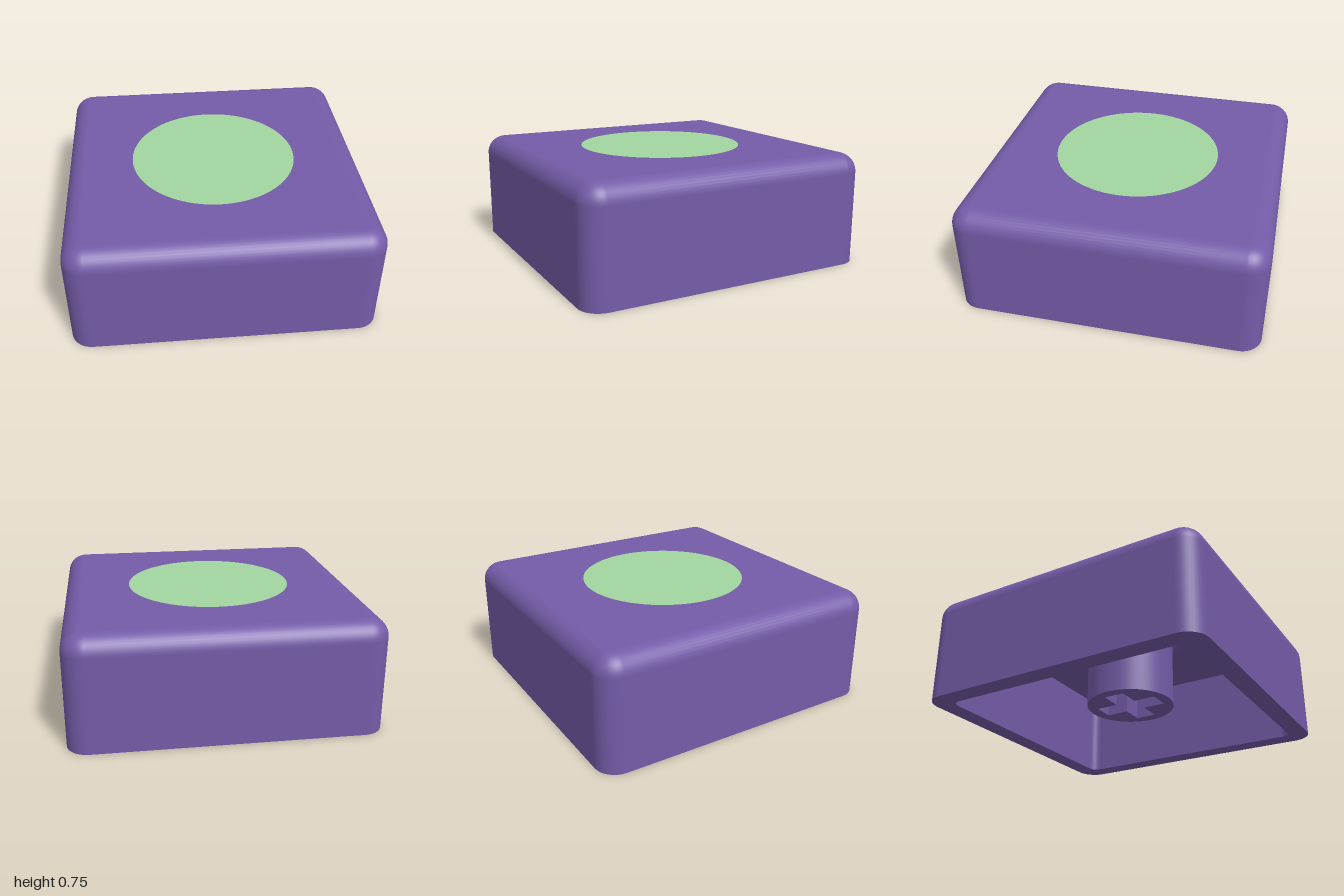
import * as THREE from 'three';
import { toCreasedNormals } from 'three/addons/utils/BufferGeometryUtils.js';

const HEIGHT = 0.745;   // top of the shell
const CEILING = 0.615;  // top of the hollow inside
const CORNER = 0.14;    // radius of the upright corners
const ROUND = 0.125;    // radius of the top edge
const STEM_R = 0.306;
const STEM_BOTTOM = 0.105;

// Skin over rounded-square rings: [corner centre, corner radius, y, normal out, normal up]
function roundedSquareSkin(rings, steps = 10) {
  const pos = [], nor = [], index = [];
  const signs = [[1, 1], [-1, 1], [-1, -1], [1, -1]];
  const count = 4 * (steps + 1);
  for (const [c, r, y, out, up] of rings) {
    signs.forEach(([sx, sz], q) => {
      for (let k = 0; k <= steps; k++) {
        const a = (q + k / steps) * Math.PI / 2;
        const dx = Math.cos(a), dz = Math.sin(a);
        pos.push(sx * c + dx * r, y, sz * c + dz * r);
        nor.push(dx * out, up, dz * out);
      }
    });
  }
  for (let i = 0; i < rings.length - 1; i++) {
    for (let j = 0; j < count; j++) {
      const a = i * count + j, b = i * count + (j + 1) % count;
      index.push(a, a + count, b, b, a + count, b + count);
    }
  }
  const geo = new THREE.BufferGeometry();
  geo.setAttribute('position', new THREE.Float32BufferAttribute(pos, 3));
  geo.setAttribute('normal', new THREE.Float32BufferAttribute(nor, 3));
  geo.setIndex(index);
  return geo;
}

// Hollow cap: ceiling, inner walls, bottom rim, outer walls, rounded top
function shellGeometry() {
  const ic = 0.802, ir = 0.065, oc = 1 - CORNER;
  const rings = [
    [0, 0, CEILING, 0, -1], [ic, ir, CEILING, 0, -1],
    [ic, ir, CEILING, -1, 0], [ic, ir, 0, -1, 0],
    [ic, ir, 0, 0, -1], [oc, CORNER, 0, 0, -1],
    [oc, CORNER, 0, 1, 0],
  ];
  for (let k = 0; k <= 10; k++) {
    const t = k / 10 * Math.PI / 2, c = Math.cos(t), s = Math.sin(t);
    rings.push([oc, CORNER - ROUND * (1 - c), HEIGHT - ROUND + ROUND * s, c, s]);
  }
  rings.push([0, 0, HEIGHT, 0, 1]);
  return roundedSquareSkin(rings);
}

// Round post with a cross-shaped socket
function stemGeometry() {
  const shape = new THREE.Shape().absarc(0, 0, STEM_R, 0, Math.PI * 2);
  const l = 0.227, w = 0.072;
  shape.holes.push(new THREE.Path([
    [l, -w], [l, w], [w, w], [w, l], [-w, l], [-w, w],
    [-l, w], [-l, -w], [-w, -w], [-w, -l], [w, -l], [w, -w],
  ].map(([x, y]) => new THREE.Vector2(x, y))));
  const geo = new THREE.ExtrudeGeometry(shape, {
    depth: CEILING + 0.005 - STEM_BOTTOM, bevelEnabled: false, curveSegments: 64,
  });
  geo.rotateX(-Math.PI / 2).translate(0, STEM_BOTTOM, 0);
  return toCreasedNormals(geo, 0.5);
}

// Concave flare where the post meets the ceiling
function filletGeometry() {
  const f = 0.1, points = [];
  for (let k = 0; k <= 8; k++) {
    const t = k / 8 * Math.PI / 2;
    points.push(new THREE.Vector2(STEM_R + f - f * Math.cos(t), CEILING - f + f * Math.sin(t)));
  }
  return new THREE.LatheGeometry(points, 64);
}

export function createModel() {
  const purple = new THREE.MeshStandardMaterial({ color: 0x745ca8 });
  purple.name = 'purple plastic';
  const green = new THREE.MeshStandardMaterial({ color: 0xa2d59f });
  green.name = 'green inlay';

  const model = new THREE.Group();
  model.name = 'keycap';
  const add = (name, geometry, material) => {
    const mesh = new THREE.Mesh(geometry, material);
    mesh.name = name;
    model.add(mesh);
  };

  add('shell', shellGeometry(), purple);
  add('stem', stemGeometry(), purple);
  add('stemFillet', filletGeometry(), purple);

  // Flush round inlay on the top face
  const disc = new THREE.CircleGeometry(0.556, 96);
  disc.rotateX(-Math.PI / 2).translate(0, HEIGHT + 0.001, 0);
  add('topDisc', disc, green);
  return model;
}
